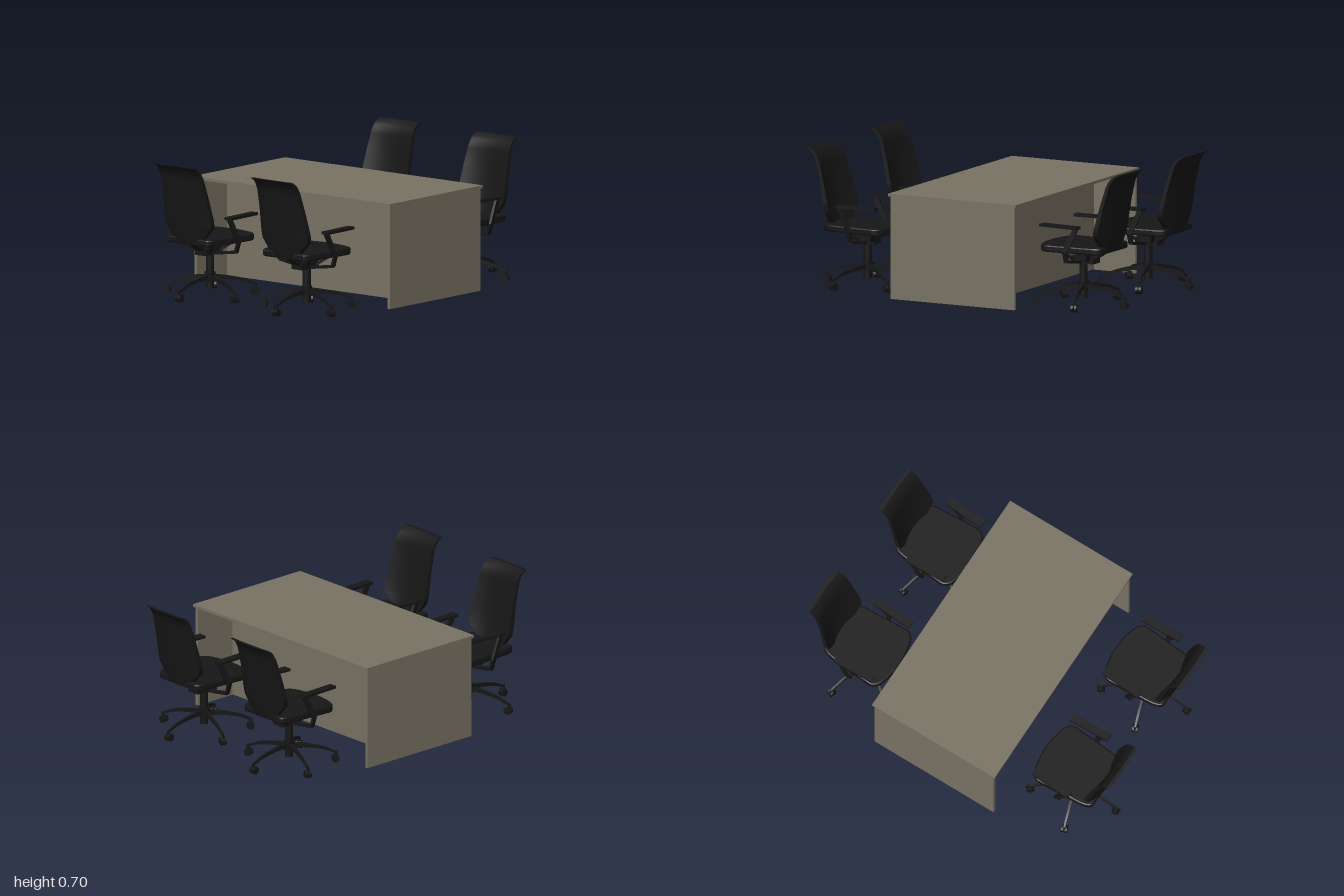
import * as THREE from 'three';

const wood = new THREE.MeshStandardMaterial({ color: 0x787263 });
const black = new THREE.MeshStandardMaterial({ color: 0x161616 });
const V = (x, y, z) => new THREE.Vector3(x, y, z);

function add(parent, name, geometry, material, x = 0, y = 0, z = 0) {
  const mesh = new THREE.Mesh(geometry, material);
  mesh.name = name;
  mesh.position.set(x, y, z);
  parent.add(mesh);
  return mesh;
}

// Square bar between two points
function bar(parent, name, a, b, w, h) {
  const mesh = add(parent, name, new THREE.BoxGeometry(w, h, a.distanceTo(b)), black);
  mesh.position.copy(a).add(b).multiplyScalar(0.5);
  mesh.lookAt(b);
  return mesh;
}

// Piecewise-linear lookup in rows of [t, ...values]
function sample(rows, t) {
  let i = 0;
  while (i < rows.length - 2 && t > rows[i + 1][0]) i++;
  const a = rows[i], b = rows[i + 1];
  const k = (t - a[0]) / (b[0] - a[0]);
  return a.map((v, j) => v + (b[j] - v) * k);
}

// Tall back, narrower at the top: rows of height, depth, half width, thickness, side wrap
function backGeometry() {
  const rows = [
    [0.29, -0.168, 0.07, 0.03, 0.01], [0.33, -0.177, 0.105, 0.03, 0.02], [0.38, -0.187, 0.15, 0.028, 0.035],
    [0.42, -0.194, 0.153, 0.025, 0.035], [0.54, -0.212, 0.143, 0.02, 0.025], [0.64, -0.228, 0.135, 0.018, 0.012],
    [0.68, -0.246, 0.132, 0.018, 0.008], [0.7, -0.276, 0.13, 0.018, 0.004],
  ];
  const g = new THREE.BoxGeometry(2, 1, 1, 8, 28, 1);
  const p = g.attributes.position;
  for (let i = 0; i < p.count; i++) {
    const u = p.getX(i);
    const [y, z, half, thick, wrap] = sample(rows, 0.29 + 0.41 * (p.getY(i) + 0.5));
    p.setXYZ(i, u * half, y, z + p.getZ(i) * thick + wrap * u * u);
  }
  g.computeVertexNormals();
  return g;
}

// Seat pad: rounded outline, bowed at the front
function seatGeometry() {
  const s = new THREE.Shape();
  s.moveTo(-0.13, -0.18);
  s.lineTo(0.13, -0.18);
  s.quadraticCurveTo(0.155, -0.17, 0.16, -0.11);
  s.lineTo(0.175, 0.12);
  s.quadraticCurveTo(0.172, 0.155, 0.13, 0.17);
  s.quadraticCurveTo(0, 0.21, -0.13, 0.17);
  s.quadraticCurveTo(-0.172, 0.155, -0.175, 0.12);
  s.lineTo(-0.16, -0.11);
  s.quadraticCurveTo(-0.155, -0.17, -0.13, -0.18);
  const g = new THREE.ExtrudeGeometry(s, {
    depth: 0.02, bevelEnabled: true, bevelSize: 0.008, bevelThickness: 0.008,
    bevelSegments: 2, bevelOffset: -0.008, curveSegments: 6,
  });
  g.rotateX(Math.PI / 2);
  return g;
}

// Tapered curved leg running along +z
function legGeometry() {
  const rows = [[0, 0.1, 0.018, 0.026], [0.08, 0.096, 0.014, 0.02], [0.17, 0.08, 0.012, 0.016], [0.245, 0.05, 0.01, 0.012]];
  const g = new THREE.BoxGeometry(1, 1, 1, 1, 1, 8);
  const p = g.attributes.position;
  for (let i = 0; i < p.count; i++) {
    const [z, y, w, h] = sample(rows, 0.245 * (p.getZ(i) + 0.5));
    p.setXYZ(i, p.getX(i) * w, y + p.getY(i) * h, z);
  }
  g.computeVertexNormals();
  return g;
}

function createChair() {
  const chair = new THREE.Group();
  chair.name = 'officeChair';
  add(chair, 'backrest', backGeometry(), black);
  add(chair, 'seat', seatGeometry(), black, 0, 0.314, 0);

  // Column and tilt mechanism
  add(chair, 'hub', new THREE.CylinderGeometry(0.028, 0.024, 0.05, 16), black, 0, 0.1, 0);
  add(chair, 'lowerColumn', new THREE.CylinderGeometry(0.021, 0.021, 0.17, 16), black, 0, 0.125, 0);
  add(chair, 'upperColumn', new THREE.CylinderGeometry(0.014, 0.014, 0.08, 16), black, 0, 0.245, 0);
  add(chair, 'mechanism', new THREE.BoxGeometry(0.07, 0.035, 0.13), black, 0, 0.235, -0.01);
  bar(chair, 'backSupport', V(0, 0.235, -0.05), V(0, 0.31, -0.17), 0.05, 0.018);

  // Five legs with casters, one leg pointing straight back
  for (let i = 0; i < 5; i++) {
    const spoke = new THREE.Group();
    spoke.name = 'baseLeg';
    spoke.rotation.y = Math.PI + (i * Math.PI * 2) / 5;
    add(spoke, 'leg', legGeometry(), black);
    add(spoke, 'casterStem', new THREE.CylinderGeometry(0.006, 0.006, 0.035, 8), black, 0, 0.04, 0.24);
    for (const s of [-1, 1]) {
      const wheel = add(spoke, 'casterWheel', new THREE.CylinderGeometry(0.02, 0.02, 0.012, 16), black, s * 0.009, 0.02, 0.235);
      wheel.rotation.z = Math.PI / 2;
    }
    chair.add(spoke);
  }

  // Armrests and the brackets under the seat
  for (const s of [-1, 1]) {
    const pad = add(chair, 'armrest', new THREE.BoxGeometry(0.042, 0.014, 0.22), black, s * 0.178, 0.424, 0.035);
    pad.rotation.y = s * -0.05;
    bar(chair, 'armPost', V(s * 0.182, 0.42, -0.06), V(s * 0.192, 0.295, 0.0), 0.014, 0.026);
    bar(chair, 'armElbow', V(s * 0.192, 0.3, 0.0), V(s * 0.175, 0.245, 0.0), 0.022, 0.014);
    bar(chair, 'armBracket', V(s * 0.178, 0.245, 0.0), V(s * 0.02, 0.222, 0.0), 0.022, 0.014);
    for (const z of [-0.09, 0.09]) {
      bar(chair, 'seatStrut', V(s * 0.025, 0.23, z * 0.4), V(s * 0.1, 0.29, z), 0.016, 0.014);
    }
  }
  return chair;
}

// Table with full end panels and a closed core box beneath the top
function createTable() {
  const table = new THREE.Group();
  table.name = 'table';
  add(table, 'tableTop', new THREE.BoxGeometry(0.73, 0.014, 1.295), wood, 0, 0.531, 0);
  for (const s of [-1, 1]) {
    add(table, 'endPanel', new THREE.BoxGeometry(0.71, 0.524, 0.016), wood, 0, 0.262, s * 0.632);
  }
  add(table, 'coreBox', new THREE.BoxGeometry(0.236, 0.522, 1.248), wood, 0, 0.263, 0);
  return table;
}

export function createModel() {
  const model = new THREE.Group();
  model.name = 'meetingTableSet';
  const table = createTable();
  table.position.set(0.016, 0, -0.03);
  table.rotation.y = THREE.MathUtils.degToRad(27.9);
  model.add(table);

  // Two chairs on each long side, all facing the table
  for (const [x, z, angle] of [[0.685, -0.01, -63], [0.395, -0.59, -63], [-0.69, 0, 117], [-0.4, 0.575, 117]]) {
    const chair = createChair();
    chair.position.set(x, 0, z);
    chair.rotation.y = THREE.MathUtils.degToRad(angle);
    model.add(chair);
  }
  return model;
}
